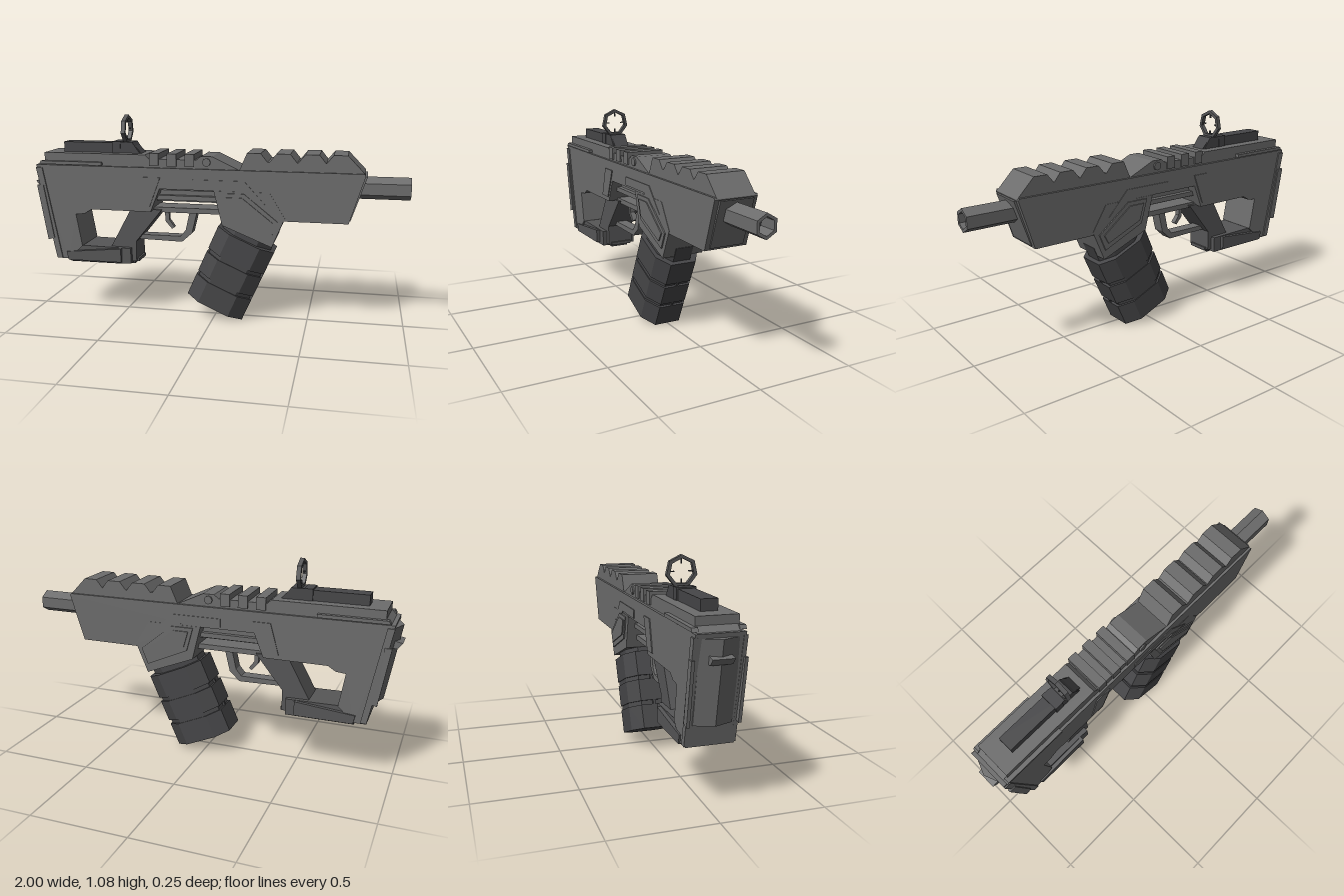
import * as THREE from 'three';

const mat = (name, color) => {
  const m = new THREE.MeshStandardMaterial({ color });
  m.name = name;
  return m;
};

export function createModel() {
  const root = new THREE.Group();
  const body = mat('body grey', 0x6c6c6c);
  const mid = mat('grip grey', 0x565657);
  const dark = mat('dark grey', 0x464648);

  const add = (name, geo, material, parent = root) => {
    const m = new THREE.Mesh(geo, material);
    m.name = name;
    parent.add(m);
    return m;
  };
  const toShape = (pts) => new THREE.Shape(pts.map(([x, y]) => new THREE.Vector2(x, y)));
  // Side profile extruded between z0 and z1
  const slab = (name, pts, z0, z1, material, parent = root) => {
    const g = new THREE.ExtrudeGeometry(toShape(pts), { depth: z1 - z0, bevelEnabled: false });
    g.translate(0, 0, z0);
    return add(name, g, material, parent);
  };
  const centred = (name, pts, half, material, parent) => slab(name, pts, -half, half, material, parent);
  // Same plate on both flanks
  const pair = (name, pts, z0, z1, material) => {
    slab(name + 'Left', pts, z0, z1, material);
    slab(name + 'Right', pts, -z1, -z0, material);
  };
  const rect = (x0, y0, x1, y1) => [[x0, y0], [x1, y0], [x1, y1], [x0, y1]];
  const ngon = (n, r, start) => Array.from({ length: n }, (_, i) => {
    const a = start + (i / n) * Math.PI * 2;
    return new THREE.Vector2(Math.cos(a) * r, Math.sin(a) * r);
  });
  // Polygonal ring extruded and turned to lie along x
  const ringAlongX = (n, outer, inner, length) => {
    const s = new THREE.Shape(ngon(n, outer, Math.PI / 2));
    s.holes.push(new THREE.Path(ngon(n, inner, Math.PI / 2)));
    const g = new THREE.ExtrudeGeometry(s, { depth: length, bevelEnabled: false });
    return g.rotateY(Math.PI / 2);
  };

  // Main receiver with stock leg
  centred('receiver', [
    [-0.965, 0.83], [-0.865, 0.315], [-0.8, 0.315], [-0.72, 0.39], [-0.75, 0.565], [-0.7, 0.57], [-0.66, 0.595],
    [-0.33, 0.595], [-0.28, 0.72], [0.01, 0.72], [0.06, 0.6], [0.385, 0.575], [0.7, 0.575], [0.775, 0.82],
    [0.77, 0.83],
  ], 0.112, body);
  centred('frontFace', [[0.69, 0.585], [0.708, 0.585], [0.785, 0.815], [0.76, 0.815]], 0.088, body);

  // Upper cover and its ridges
  centred('upperCover', [
    [-0.945, 0.83], [0.14, 0.83], [0, 0.895], [-0.06, 0.895], [-0.085, 0.875], [-0.34, 0.875],
    [-0.36, 0.895], [-0.92, 0.895], [-0.92, 0.855],
  ], 0.098, body);
  for (const x of [-0.335, -0.24, -0.145]) centred('coverRidge', rect(x, 0.84, x + 0.05, 0.905), 0.106, body);
  const pin = add('crossPin', new THREE.CylinderGeometry(0.022, 0.022, 0.212, 8), body);
  pin.rotation.x = Math.PI / 2;
  pin.position.set(-0.03, 0.865, 0);
  pair('rearTopStrip', [[-0.945, 0.835], [-0.595, 0.835], [-0.595, 0.852], [-0.935, 0.852]], 0.09, 0.12, body);

  // Front toothed rail
  const rail = [[0.775, 0.825], [0.14, 0.825]];
  for (const x of [0.18, 0.33, 0.475, 0.615]) {
    if (x > 0.2) rail.push([x - 0.035, 0.875]);
    rail.push([x, 0.918], [x + 0.07, 0.918]);
    if (x < 0.6) rail.push([x + 0.105, 0.875]);
  }
  centred('frontRail', rail, 0.1, body);

  // Hexagonal barrel with a recessed bore
  add('barrel', ringAlongX(6, 0.058, 0.042, 0.3), body).position.set(0.7, 0.745, 0);
  const bore = add('boreEnd', new THREE.CylinderGeometry(0.048, 0.048, 0.02, 6), dark);
  bore.rotation.z = Math.PI / 2;
  bore.position.set(0.9, 0.745, 0);

  // Vent slots under the front
  for (const z of [-0.05, 0, 0.05]) {
    const vent = add('ventSlot', new THREE.BoxGeometry(0.18, 0.006, 0.018), dark);
    vent.position.set(0.54, 0.574, z);
  }

  // Inner bars in the open middle
  centred('innerBar', rect(-0.32, 0.645, 0.08, 0.705), 0.05, body);
  pair('innerRail', rect(-0.32, 0.655, 0.06, 0.68), 0.05, 0.075, body);
  centred('lowerBar', rect(-0.7, 0.585, 0.08, 0.612), 0.06, body);

  // Flank panels
  pair('diagonalPlate', [[-0.41, 0.62], [-0.335, 0.62], [-0.275, 0.78], [-0.365, 0.78]], 0.11, 0.117, body);
  pair('flankStrip', [[-0.1, 0.73], [0.115, 0.73], [0.165, 0.69], [0.285, 0.65], [0.17, 0.775], [-0.1, 0.775]],
    0.11, 0.116, body);

  // Magazine well with raised panel
  centred('magazineWell', [[0.01, 0.72], [0.055, 0.54], [0.315, 0.435], [0.38, 0.59], [0.3, 0.72]], 0.114, body);
  pair('wellPanel', [[0.05, 0.71], [0.085, 0.585], [0.31, 0.485], [0.345, 0.57], [0.17, 0.71]], 0.11, 0.121, body);
  pair('wellInset', [[0.075, 0.69], [0.1, 0.605], [0.295, 0.52], [0.32, 0.565], [0.16, 0.69]], 0.118, 0.127, body);

  // Slanted magazine, three blocks around a core
  const mag = new THREE.Group();
  mag.name = 'magazine';
  mag.position.set(0.007, 0.08, 0);
  mag.rotation.z = -0.415;
  root.add(mag);
  const magBlock = (name, y0, y1, hx, hz) => {
    const c = 0.075, d = 0.05;
    const s = toShape([[hx, d - hz + 0.002], [hx, hz - d], [hx - c, hz], [-hx + c, hz], [-hx, hz - d], [-hx, d - hz],
      [-hx + c, -hz], [hx - c, -hz]]);
    const g = new THREE.ExtrudeGeometry(s, { depth: y1 - y0, bevelEnabled: false });
    g.rotateX(-Math.PI / 2).translate(0, y0, 0);
    add(name, g, dark, mag);
  };
  magBlock('magazineCore', 0.005, 0.41, 0.15, 0.118);
  magBlock('magazineBase', 0, 0.125, 0.162, 0.122);
  magBlock('magazineMiddle', 0.147, 0.262, 0.162, 0.122);
  magBlock('magazineTop', 0.284, 0.415, 0.162, 0.122);
  magBlock('magazineNeck', 0.4, 0.5, 0.14, 0.1);
  for (const y of [0.136, 0.273]) {
    for (const x of [-0.156, 0.156]) {
      add('magazineTab', new THREE.BoxGeometry(0.012, 0.024, 0.012), dark, mag).position.set(x, y, 0);
    }
  }

  // Grip and lower stock bridge
  centred('grip', [[-0.57, 0.38], [-0.45, 0.6], [-0.28, 0.6], [-0.425, 0.42], [-0.425, 0.31], [-0.57, 0.31]], 0.075, mid);
  centred('lowerBridge', [[-0.8, 0.3], [-0.45, 0.3], [-0.45, 0.385], [-0.74, 0.39], [-0.81, 0.36]], 0.1, mid);
  pair('bridgeCheek', [[-0.8, 0.31], [-0.5, 0.31], [-0.5, 0.385], [-0.81, 0.355]], 0.095, 0.12, mid);
  centred('bridgeSole', rect(-0.8, 0.29, -0.5, 0.302), 0.075, dark);
  centred('gripFoot', rect(-0.48, 0.29, -0.44, 0.315), 0.05, dark);
  centred('gripLip', rect(-0.46, 0.305, -0.415, 0.322), 0.06, mid);

  // Trigger and guard
  centred('triggerGuard', [
    [-0.42, 0.425], [-0.18, 0.42], [-0.125, 0.47], [-0.095, 0.595],
    [-0.135, 0.595], [-0.16, 0.485], [-0.19, 0.45], [-0.42, 0.45],
  ], 0.032, body);
  centred('trigger', [
    [-0.28, 0.59], [-0.275, 0.525], [-0.24, 0.485], [-0.225, 0.495], [-0.255, 0.535], [-0.255, 0.59],
  ], 0.014, body);

  // Butt plate: pointed plan, sheared along the sloping back
  const butt = new THREE.ExtrudeGeometry(
    toShape([[0, 0], [0.035, -0.09], [0.07, -0.1], [0.07, 0.1], [0.035, 0.09]]), { depth: 0.39, bevelEnabled: false });
  butt.rotateX(-Math.PI / 2);
  const p = butt.attributes.position;
  for (let i = 0; i < p.count; i++) p.setX(i, p.getX(i) - p.getY(i) * 0.175 - 0.925);
  butt.translate(0, 0.42, 0);
  butt.computeVertexNormals();
  add('buttPlate', butt, body);
  centred('buttNotch', [[-1, 0.73], [-0.975, 0.7], [-0.94, 0.7], [-0.95, 0.74]], 0.05, body);
  pair('stockEdge', [[-0.965, 0.815], [-0.93, 0.815], [-0.835, 0.32], [-0.866, 0.32]], 0.1, 0.119, body);
  pair('stockClasp', [[-0.96, 0.72], [-0.925, 0.72], [-0.875, 0.43], [-0.91, 0.42]], 0.11, 0.125, body);

  // Rear sight base and ring
  centred('sightBase', [[-0.83, 0.89], [-0.39, 0.89], [-0.445, 0.948], [-0.83, 0.948]], 0.04, dark);
  centred('sightClamp', rect(-0.555, 0.89, -0.51, 0.955), 0.048, dark);
  centred('sightFoot', [[-0.51, 0.89], [-0.4, 0.89], [-0.445, 0.953], [-0.51, 0.953]], 0.046, dark);
  const sight = new THREE.Group();
  sight.name = 'sightRing';
  sight.position.set(-0.485, 1.018, 0);
  root.add(sight);
  add('ring', ringAlongX(7, 0.077, 0.06, 0.022), mid, sight).position.x = -0.011;
  for (let i = 0; i < 4; i++) {
    const spoke = new THREE.Group();
    spoke.name = 'sightTick';
    spoke.rotation.x = i * Math.PI / 2;
    add('tick', new THREE.BoxGeometry(0.008, 0.026, 0.005), dark, spoke).position.y = 0.048;
    sight.add(spoke);
  }
  return root;
}
